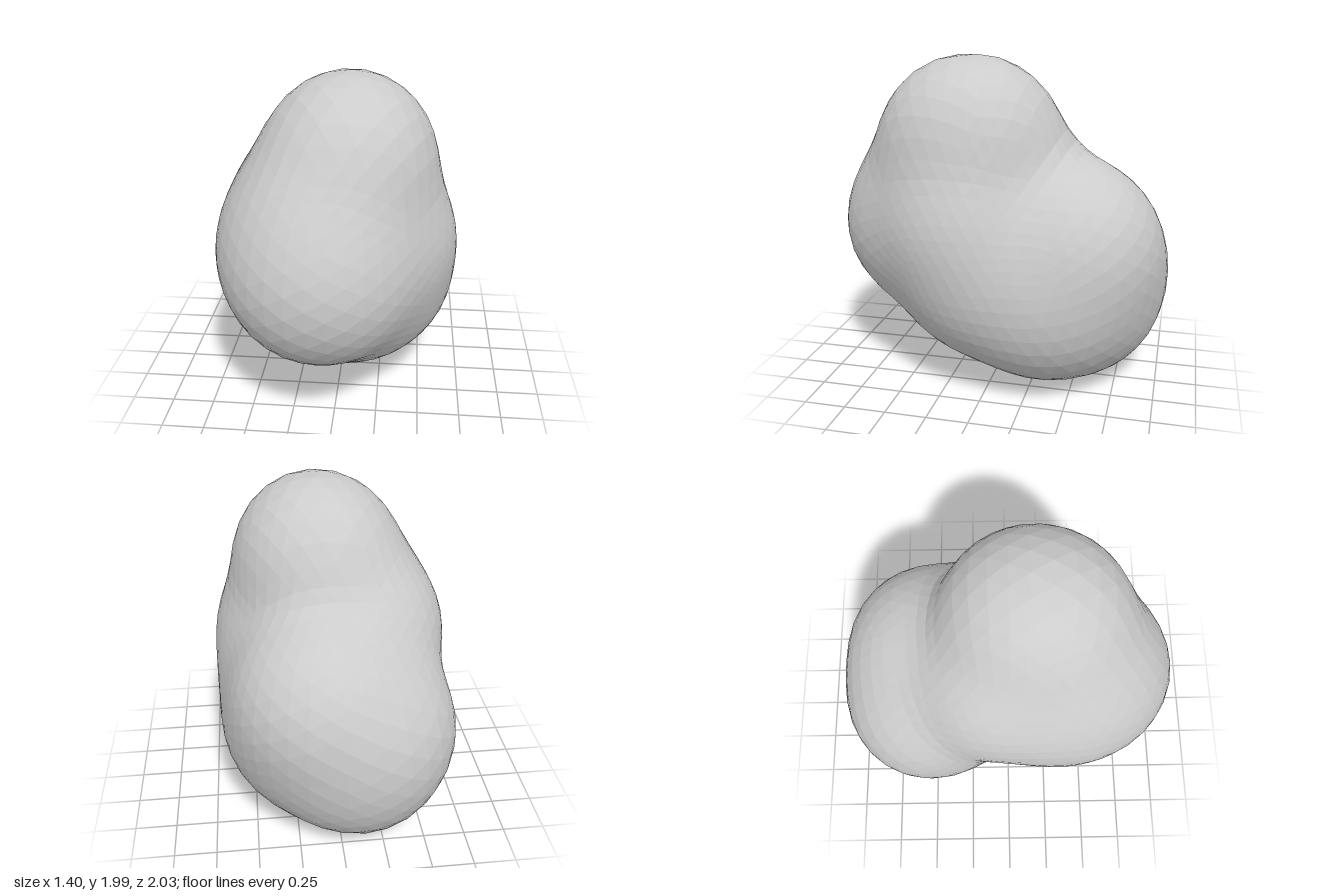
import * as THREE from 'three';

// Rounded lobes that melt together: x, y, z, radius
const LOBES = [
  [0.06, 1.51, 0.07, 0.43], // crown, rear half
  [0.06, 1.51, 0.24, 0.43], // crown, front half
  [-0.1, 1.2, 0.39, 0.4], // brow between crown and front bulge
  [-0.08, 0.93, 0.48, 0.505], // front bulge
  [-0.2, 1.0, 0.28, 0.45], // front bulge, right-hand side
  [-0.2, 1.12, -0.08, 0.45], // right flank
  [0.22, 1.03, 0.15, 0.44], // left flank, upper
  [0.17, 0.72, 0, 0.46], // left flank, lower
  [0.05, 0.65, 0.12, 0.42], // underside
  [0.1, 0.9, -0.48, 0.49], // upper back
  [-0.2, 0.72, -0.52, 0.45], // back, right-hand side
  [-0.12, 0.51, -0.48, 0.487], // base
  [0.17, 0.57, -0.32, 0.46], // base, left-hand side
];
const SHARPNESS = 11;
const CENTRE = new THREE.Vector3(0, 0.9, 0);

// Smooth union of the lobes: above 1 is inside
function field(p) {
  let sum = 0;
  for (const [x, y, z, r] of LOBES) {
    sum += Math.exp(-SHARPNESS * (Math.hypot(p.x - x, p.y - y, p.z - z) - r));
  }
  return sum;
}

// Walk inwards along a ray to the skin, then refine by halving
function skinPoint(direction) {
  const p = new THREE.Vector3();
  const at = (r) => p.copy(CENTRE).addScaledVector(direction, r);
  let outer = 1.6;
  while (outer > 0.1 && field(at(outer - 0.02)) < 1) outer -= 0.02;
  let inner = outer - 0.02;
  for (let i = 0; i < 12; i++) {
    const mid = (inner + outer) / 2;
    if (field(at(mid)) > 1) inner = mid;
    else outer = mid;
  }
  return at(inner);
}

export function createModel() {
  const group = new THREE.Group();
  group.name = 'lumpyBoulder';

  // Faceted sphere pulled out to the skin of the lobes
  const geometry = new THREE.IcosahedronGeometry(1, 9);
  const position = geometry.attributes.position;
  const direction = new THREE.Vector3();
  for (let i = 0; i < position.count; i++) {
    direction.fromBufferAttribute(position, i).normalize();
    const p = skinPoint(direction);
    position.setXYZ(i, p.x, p.y, p.z);
  }
  geometry.computeVertexNormals();

  const boulder = new THREE.Mesh(
    geometry,
    new THREE.MeshStandardMaterial({ color: 0xcccccc, flatShading: true })
  );
  boulder.name = 'boulder';
  group.add(boulder);
  return group;
}
